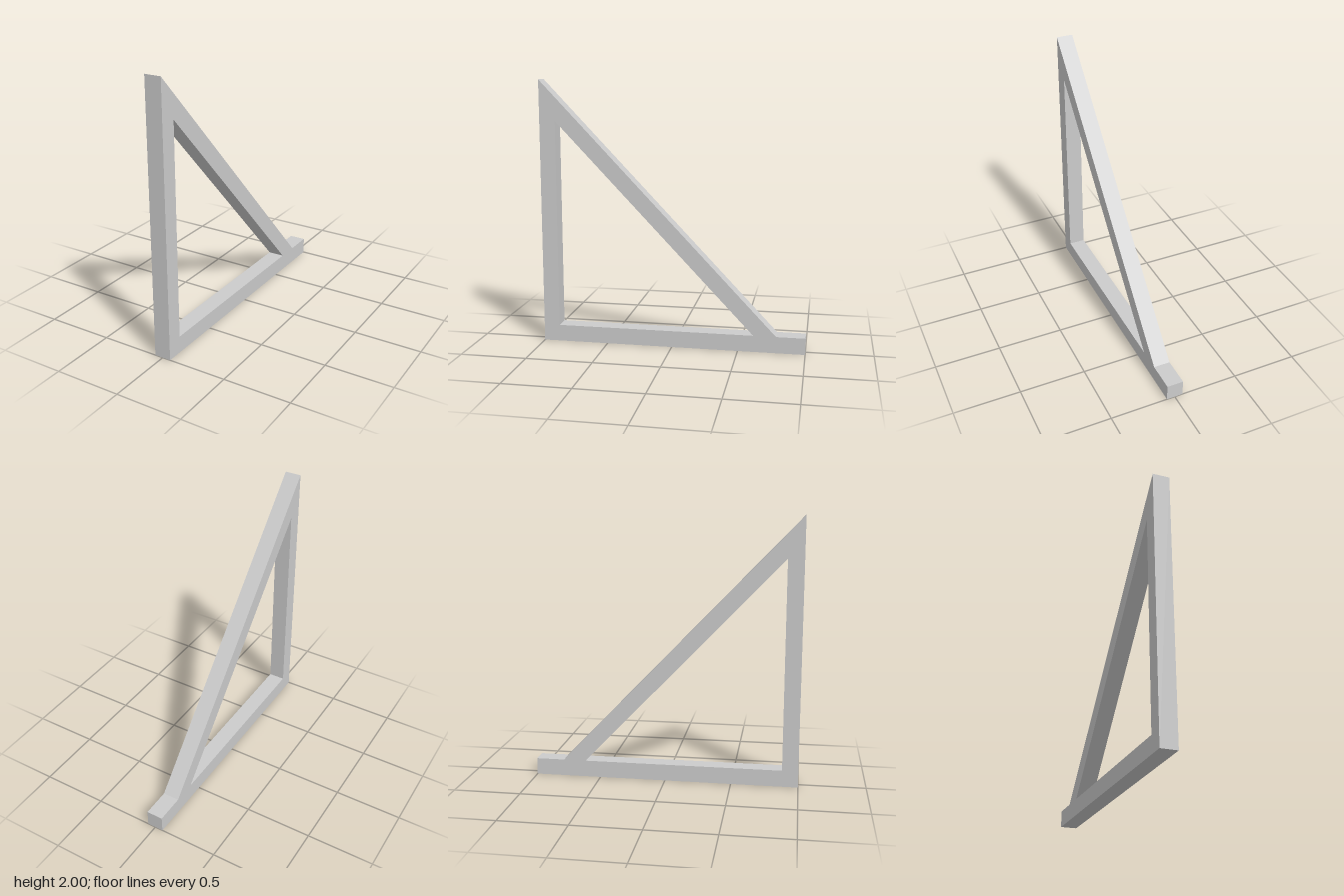
import * as THREE from 'three';

export function createModel() {
  const group = new THREE.Group();
  group.name = 'triangularBracket';
  const width = 0.125;
  const points = (list) => list.map(([z, y]) => new THREE.Vector2(z, y));

  // Side profile (z, y): upright, base rail with a short tail, and diagonal brace
  const profile = new THREE.Shape(points([
    [1, 0], [1, 2], [-0.785, 0.125], [-1, 0.125], [-1, 0],
  ]));

  // Triangular opening between the three bars
  profile.holes.push(new THREE.Path(points([
    [0.88, 0.125], [-0.615, 0.125], [0.88, 1.695],
  ])));

  const geometry = new THREE.ExtrudeGeometry(profile, { depth: width, bevelEnabled: false });
  geometry.translate(0, 0, -width / 2);
  geometry.rotateY(-Math.PI / 2); // profile x becomes z

  const frame = new THREE.Mesh(
    geometry,
    new THREE.MeshStandardMaterial({ color: 0xcccccc, flatShading: true }),
  );
  frame.name = 'bracketFrame';
  group.add(frame);
  return group;
}
